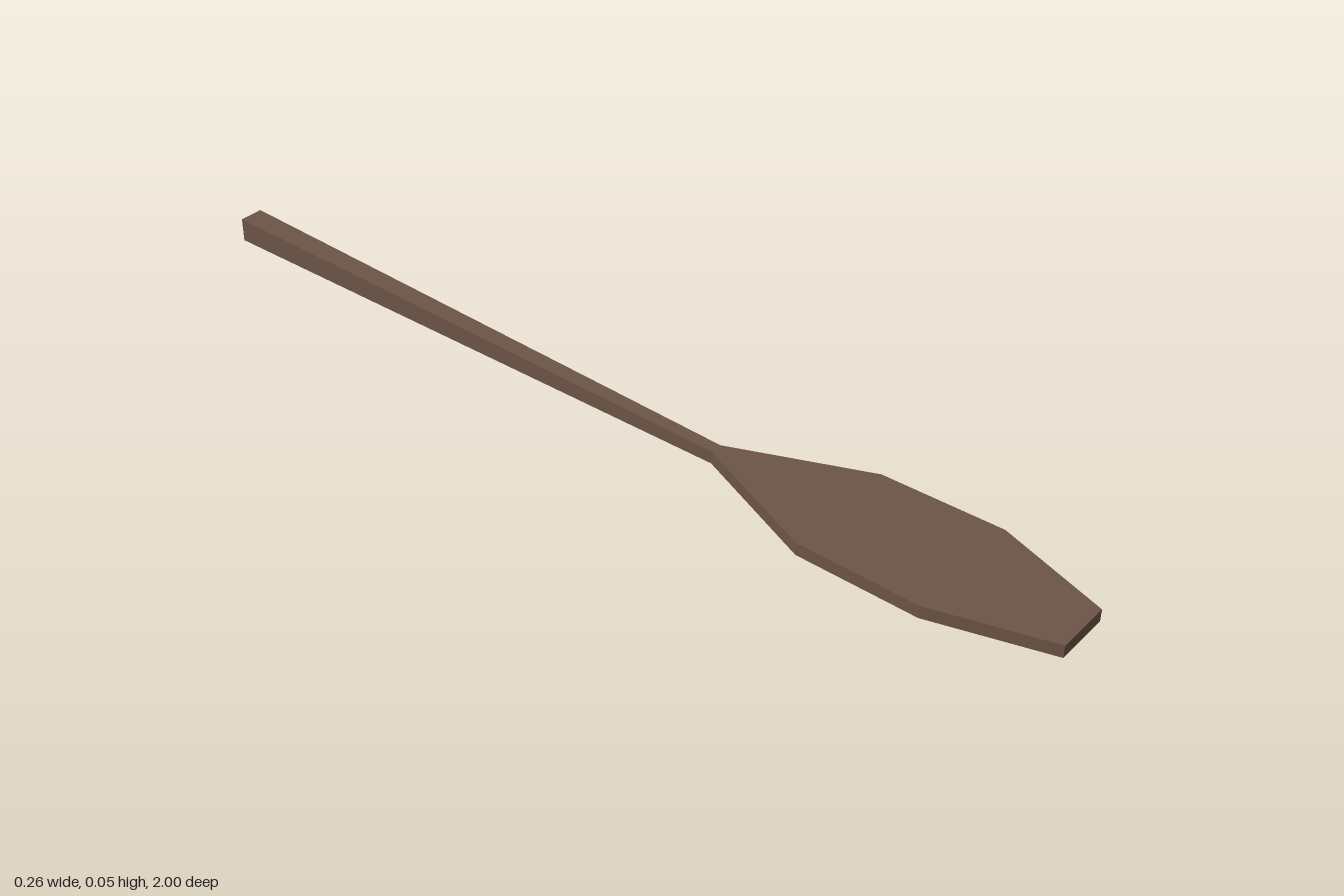
import * as THREE from 'three';

export function createModel() {
  const model = new THREE.Group();
  const wood = new THREE.MeshStandardMaterial({ color: 0x6d5447 });
  wood.name = 'dark wood';
  wood.flatShading = true;

  const axisX = -0.008, midY = 0.0265, neckZ = 0.25, neck = 0.026, grip = 0.051;

  // Blade: flat faceted outline (x, z), extruded upwards
  const outline = [
    [axisX - neck / 2, neckZ], [-0.131, 0.52], [-0.131, 0.77], [-0.061, 1],
    [0.055, 1], [0.13, 0.77], [0.122, 0.52], [axisX + neck / 2, neckZ],
  ];
  const shape = new THREE.Shape(outline.map(([x, z]) => new THREE.Vector2(x, -z)));
  const bladeGeo = new THREE.ExtrudeGeometry(shape, { depth: neck, bevelEnabled: false });
  bladeGeo.rotateX(-Math.PI / 2);
  bladeGeo.translate(0, midY - neck / 2, 0);
  const blade = new THREE.Mesh(bladeGeo, wood);
  blade.name = 'blade';

  // Handle: square bar that thickens steadily towards the grip end
  const length = neckZ + 1;
  const handleGeo = new THREE.BoxGeometry(1, 1, length);
  const pos = handleGeo.attributes.position;
  for (let i = 0; i < pos.count; i++) {
    const size = pos.getZ(i) > 0 ? neck : grip;
    pos.setX(i, pos.getX(i) * size);
    pos.setY(i, pos.getY(i) * size);
  }
  handleGeo.computeVertexNormals();
  handleGeo.translate(axisX, midY, neckZ - length / 2);
  const handle = new THREE.Mesh(handleGeo, wood);
  handle.name = 'handle';

  model.add(blade, handle);
  return model;
}
